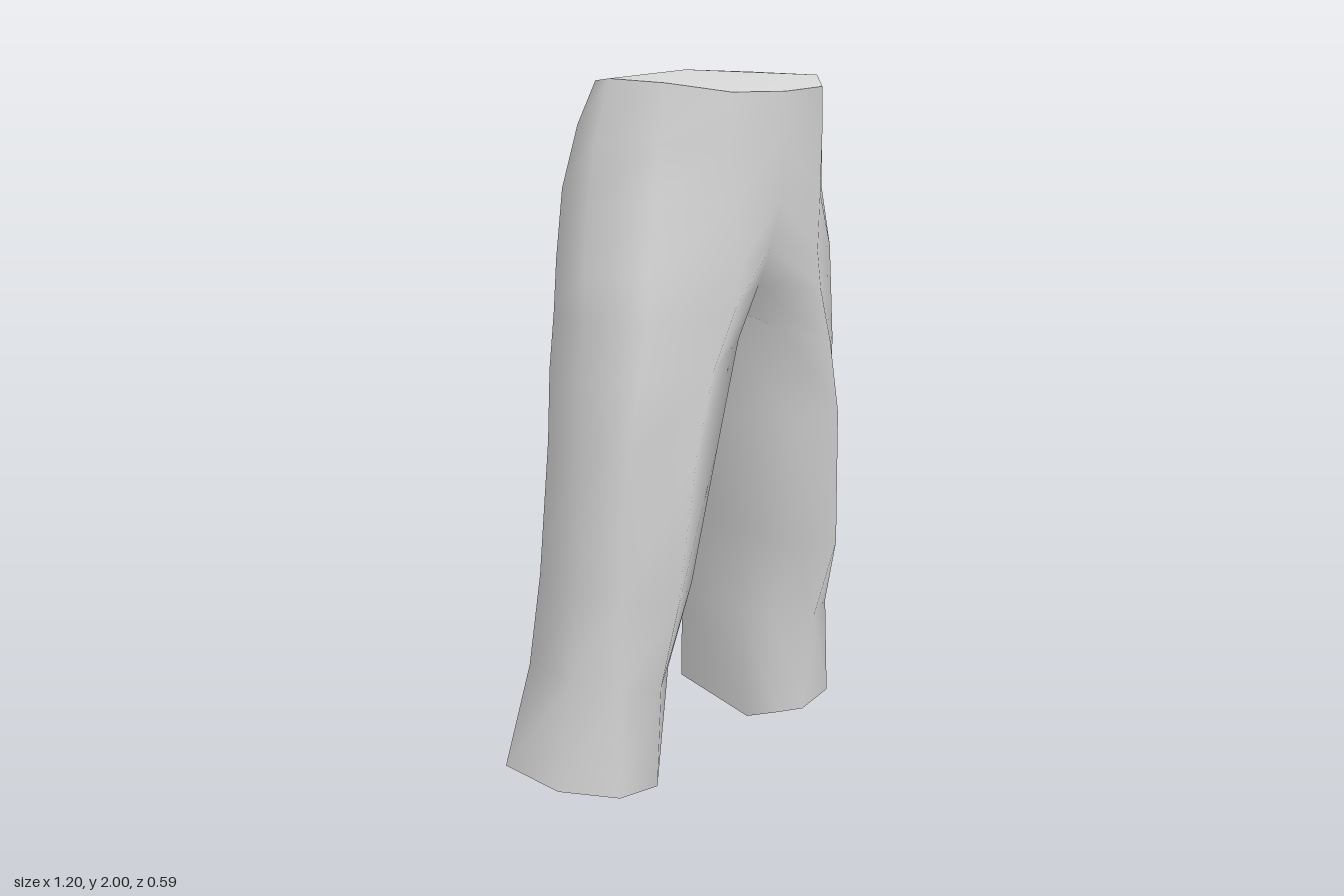
import * as THREE from 'three';
import { mergeVertices } from 'three/addons/utils/BufferGeometryUtils.js';

// Half rings of the hips (left side), front centre -> side -> back centre, as [x, y, z]
const hipRings = [
  [[0, 1.95, 0.292], [0.21, 1.955, 0.27], [0.345, 1.98, 0.16], [0.315, 1.985, -0.06], [0.245, 1.975, -0.17], [0.135, 1.965, -0.205], [0, 1.965, -0.16]],
  [[0, 1.82, 0.29], [0.21, 1.82, 0.272], [0.37, 1.83, 0.15], [0.395, 1.83, -0.04], [0.315, 1.86, -0.175], [0.14, 1.86, -0.26], [0, 1.86, -0.225]],
  [[0, 1.66, 0.284], [0.2, 1.66, 0.275], [0.39, 1.66, 0.15], [0.437, 1.67, -0.03], [0.365, 1.69, -0.19], [0.14, 1.69, -0.295], [0, 1.69, -0.275]],
  [[0, 1.53, 0.25], [0.18, 1.5, 0.283], [0.425, 1.48, 0.16], [0.475, 1.48, -0.02], [0.405, 1.5, -0.18], [0.16, 1.5, -0.265], [0, 1.5, -0.235]],
];

// Closed rings of the left leg; the eighth point runs down the inner seam
const legRings = [
  [[0, 1.42, 0.21], [0.2, 1.39, 0.282], [0.435, 1.36, 0.16], [0.487, 1.35, -0.01], [0.418, 1.36, -0.18], [0.18, 1.4, -0.23], [0, 1.42, -0.19], [0, 1.372, -0.02]],
  [[0.1, 1.28, 0.215], [0.28, 1.22, 0.265], [0.455, 1.2, 0.155], [0.495, 1.2, -0.02], [0.44, 1.2, -0.18], [0.23, 1.22, -0.225], [0.08, 1.27, -0.175], [0.05, 1.34, -0.01]],
  [[0.17, 1, 0.2], [0.34, 1, 0.256], [0.485, 1, 0.135], [0.505, 1, -0.02], [0.457, 1, -0.175], [0.28, 1, -0.218], [0.13, 1, -0.18], [0.11, 1, 0]],
  [[0.24, 0.6, 0.16], [0.385, 0.58, 0.228], [0.495, 0.6, 0.115], [0.52, 0.6, -0.02], [0.49, 0.62, -0.185], [0.35, 0.62, -0.22], [0.2, 0.62, -0.205], [0.2, 0.62, 0]],
  [[0.26, 0.34, 0.09], [0.375, 0.33, 0.158], [0.5, 0.34, 0.115], [0.545, 0.35, -0.02], [0.53, 0.36, -0.195], [0.38, 0.36, -0.25], [0.23, 0.36, -0.25], [0.22, 0.34, 0]],
  [[0.3, 0.01, 0.068], [0.36, 0.02, 0.13], [0.51, 0.035, 0.12], [0.6, 0.045, -0.03], [0.595, 0.065, -0.235], [0.45, 0.063, -0.262], [0.272, 0.06, -0.287], [0.242, 0, 0]],
];

// Collects left-side triangles together with their mirrored twins
function mirroredSurface() {
  const points = [];
  return {
    tri(a, b, c) {
      for (const p of [a, b, c]) points.push(...p);
      for (const p of [a, c, b]) points.push(-p[0], p[1], p[2]);
    },
    quad(a, b, c, d) {
      this.tri(a, b, c);
      this.tri(a, c, d);
    },
    build() {
      const soup = new THREE.BufferGeometry();
      soup.setAttribute('position', new THREE.Float32BufferAttribute(points.map((v) => v + 0), 3));
      const g = mergeVertices(soup, 1e-4);
      g.computeVertexNormals();
      return g;
    },
  };
}

export function createModel() {
  const group = new THREE.Group();
  group.name = 'trousers';
  const cloth = new THREE.MeshStandardMaterial({ color: 0xd6d6d6 });
  cloth.name = 'grey cloth';

  const add = (name, surface) => {
    const mesh = new THREE.Mesh(surface.build(), cloth);
    mesh.name = name;
    group.add(mesh);
  };

  // Hips and legs as one continuous smooth skin
  const skin = mirroredSurface();
  const upper = [...hipRings, legRings[0]];
  for (let i = 0; i < upper.length - 1; i++) {
    for (let j = 0; j < 6; j++) {
      skin.quad(upper[i][j], upper[i + 1][j], upper[i + 1][j + 1], upper[i][j + 1]);
    }
  }
  for (let i = 0; i < legRings.length - 1; i++) {
    for (let j = 0; j < 8; j++) {
      const k = (j + 1) % 8;
      skin.quad(legRings[i][j], legRings[i + 1][j], legRings[i + 1][k], legRings[i][k]);
    }
  }
  add('hipsAndLegs', skin);

  // Closed waist opening
  const waist = mirroredSurface();
  const waistCentre = [0, 2, -0.05];
  for (let j = 0; j < 6; j++) waist.tri(waistCentre, hipRings[0][j], hipRings[0][j + 1]);
  add('waistCap', waist);

  // Closed hems under both legs
  const hems = mirroredSurface();
  const hem = legRings[legRings.length - 1];
  const hemCentre = [0.43, 0.04, -0.08];
  for (let j = 0; j < 8; j++) hems.tri(hemCentre, hem[(j + 1) % 8], hem[j]);
  add('hemCaps', hems);

  return group;
}
